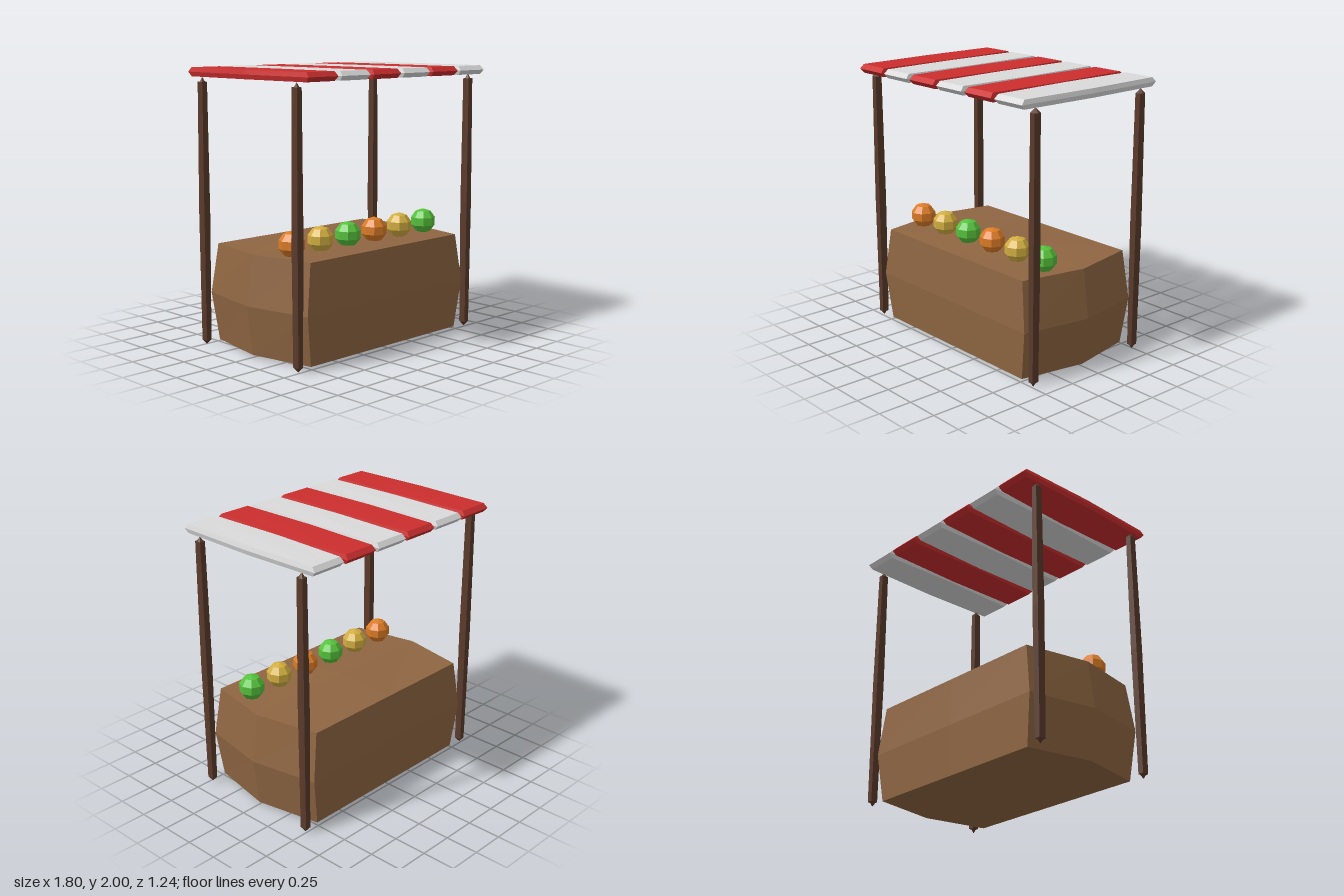
import * as THREE from 'three';

const mat = (name, color) => {
  const m = new THREE.MeshStandardMaterial({ color, flatShading: true });
  m.name = name;
  return m;
};

// Box with slightly swollen faces: half sizes h; each axis shrinks by its
// insets where the point lies on the edge of the other two axes.
function swollenBox(h, inset) {
  const g = new THREE.BoxGeometry(2, 2, 2, 2, 2, 2);
  const p = g.attributes.position;
  for (let i = 0; i < p.count; i++) {
    const [x, y, z] = [p.getX(i), p.getY(i), p.getZ(i)].map(Math.round);
    const [ax, ay, az] = [x, y, z].map(Math.abs);
    p.setXYZ(i,
      x * (h[0] - ay * inset.x[0] - az * inset.x[1]),
      y * (h[1] - Math.max(ax, az) * inset.y),
      z * (h[2] - ay * inset.z));
  }
  g.computeVertexNormals();
  return g;
}

export function createModel() {
  const group = new THREE.Group();
  group.name = 'marketStall';

  const counterWood = mat('counter wood', 0x8f6642);
  const postWood = mat('dark post wood', 0x5a3a2b);
  const red = mat('red awning', 0xcc2e2e);
  const white = mat('white awning', 0xdadada);
  const fruitColours = [
    mat('orange fruit', 0xdc7c26),
    mat('yellow fruit', 0xd2ae40),
    mat('green fruit', 0x56c23c),
  ];

  const add = (name, geometry, material, x, y, z) => {
    const mesh = new THREE.Mesh(geometry, material);
    mesh.name = name;
    mesh.position.set(x, y, z);
    group.add(mesh);
  };

  // Counter block
  add('counter', swollenBox([0.89, 0.3725, 0.51], { x: [0.05, 0.095], y: 0.016, z: 0.025 }),
    counterWood, 0, 0.3775, 0);

  // Four corner posts with pointed ends
  const post = swollenBox([0.029, 0.962, 0.03], { x: [0.005, 0.003], y: 0.034, z: 0.004 });
  for (const x of [-0.863, 0.863]) {
    for (const z of [-0.487, 0.487]) add('post', post, postWood, x, 0.97, z);
  }

  // Awning slats, alternating colours
  const slat = swollenBox([0.148, 0.035, 0.62], { x: [0.009, 0.015], y: 0.003, z: 0.028 });
  for (let i = 0; i < 6; i++) {
    add('awningSlat', slat, i % 2 ? white : red, -0.75 + i * 0.3, 1.965, 0);
  }

  // Row of fruit along the front of the counter
  const fruit = new THREE.SphereGeometry(0.095, 8, 5);
  for (let i = 0; i < 6; i++) {
    add('fruit', fruit, fruitColours[i % 3], -0.675 + i * 0.27, 0.815, 0.225);
  }

  return group;
}
